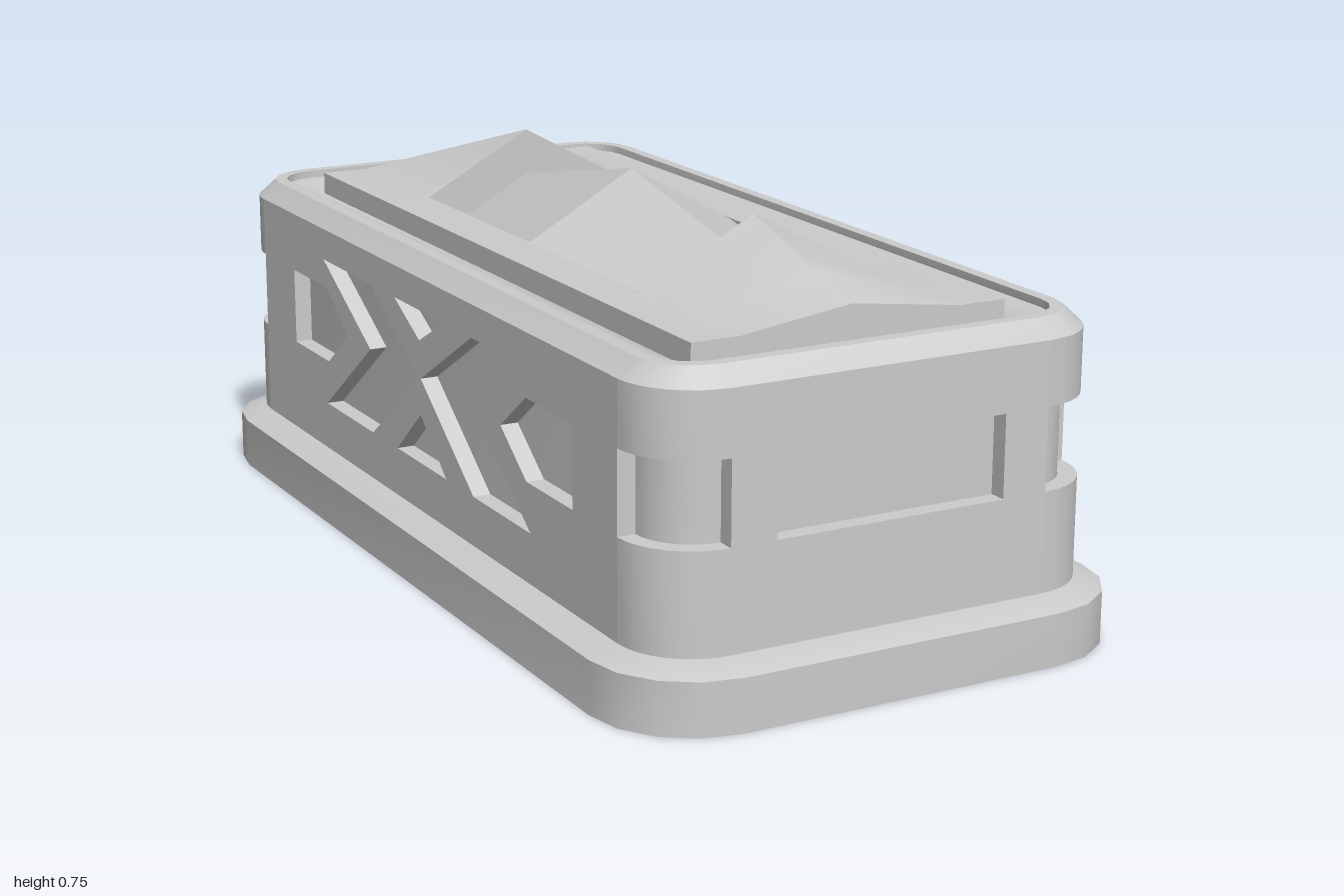
import * as THREE from 'three';
import { toCreasedNormals } from 'three/addons/utils/BufferGeometryUtils.js';

// Every outline is the same rectangle (half sizes CX, CZ) grown by a rounded margin r
const CX = 0.32, CZ = 0.805, SEG = 4;
const R_CORE = 0.105, R_BODY = 0.14, DEPTH = R_BODY - R_CORE;
const WALL_TOP = 0.587;

// Sunken middle of the lid: half sizes, and the height of the lid's border
const MX = 0.225, MZ = 0.467, BORDER = 0.63;

const material = new THREE.MeshStandardMaterial({ color: 0xcccccc });

function addMesh(parent, name, geometry) {
  const mesh = new THREE.Mesh(geometry, material);
  mesh.name = name;
  parent.add(mesh);
  return mesh;
}

function fromTriangles(points, crease) {
  const geo = new THREE.BufferGeometry();
  geo.setAttribute('position', new THREE.Float32BufferAttribute(points.flat(), 3));
  geo.computeVertexNormals();
  return toCreasedNormals(geo, crease);
}

// Rounded rectangle ring, counter-clockwise from above
function ring([r, y]) {
  const pts = [];
  for (let k = 0; k < 4; k++) {
    const sx = k === 0 || k === 3 ? 1 : -1, sz = k < 2 ? -1 : 1;
    for (let i = 0; i <= SEG; i++) {
      const a = (k + i / SEG) * Math.PI / 2;
      pts.push([sx * CX + r * Math.cos(a), y, sz * CZ - r * Math.sin(a)]);
    }
  }
  return pts;
}

// Bands between successive [margin, height] rings, with an optional floor
function loft(profile, hasFloor = false) {
  const rings = profile.map(ring), tris = [], n = rings[0].length;
  for (let i = 0; i < n; i++) {
    const j = (i + 1) % n;
    for (let k = 0; k < rings.length - 1; k++) {
      const a = rings[k], b = rings[k + 1];
      tris.push(a[i], a[j], b[j], a[i], b[j], b[i]);
    }
    if (hasFloor) tris.push([0, profile[0][1], 0], rings[0][j], rings[0][i]);
  }
  return fromTriangles(tris, 0.5);
}

const polygon = (pts, Type = THREE.Path) => new Type(pts.map(([x, y]) => new THREE.Vector2(x, y)));
const rect = (x, y0, y1) => [[-x, y0], [x, y0], [x, y1], [-x, y1]];

// Wall panel with cut-outs, centred on x and facing +z
function panel(halfWidth, halfDepth, holes) {
  const shape = polygon(rect(halfWidth, 0.12, WALL_TOP), THREE.Shape);
  shape.holes = holes.map((h) => polygon(h));
  const geo = new THREE.ExtrudeGeometry(shape, { depth: DEPTH, bevelEnabled: false });
  return geo.translate(0, 0, halfDepth + R_CORE);
}

// Quarter-round corner shell between two heights
function cornerShell(k, y0, y1) {
  const sx = k === 0 || k === 3 ? 1 : -1, sy = k < 2 ? 1 : -1;
  const a0 = k * Math.PI / 2, a1 = a0 + Math.PI / 2;
  const shape = new THREE.Shape();
  shape.absarc(sx * CX, sy * CZ, R_BODY, a0, a1, false);
  shape.absarc(sx * CX, sy * CZ, R_CORE, a1, a0, true);
  const geo = new THREE.ExtrudeGeometry(shape, { depth: y1 - y0, bevelEnabled: false, curveSegments: SEG });
  geo.rotateX(-Math.PI / 2).translate(0, y0, 0);
  return toCreasedNormals(geo, 0.5);
}

// Skin through cross-sections ordered from back to front, points running left to right
function sweep(sections) {
  const tris = [];
  for (let s = 0; s < sections.length - 1; s++) {
    const a = sections[s], b = sections[s + 1];
    for (let i = 0; i < a.length - 1; i++) {
      tris.push(a[i], b[i], b[i + 1], a[i], b[i + 1], a[i + 1]);
    }
  }
  return tris;
}

// End of the lid: a gable that flattens towards the front
function lidEnd() {
  const sections = [];
  for (let i = 0; i <= 8; i++) {
    const t = i / 8, z = THREE.MathUtils.lerp(MZ, CZ, t), ridge = THREE.MathUtils.lerp(0.753, 0.66, t);
    sections.push([[-CX, 0.53, z], [-CX, BORDER, z], [-MX, BORDER, z], [0, ridge, z],
      [MX, BORDER, z], [CX, BORDER, z], [CX, 0.53, z]]);
  }
  const tris = sweep(sections), back = sections[0], front = sections[8];
  for (let i = 1; i < back.length - 1; i++) {
    tris.push(back[0], back[i], back[i + 1], front[0], front[i + 1], front[i]);
  }
  return fromTriangles(tris, 0.55);
}

// Middle of the lid: side borders and a roof sinking from its centre to both ends
function lidMiddle() {
  const stations = [[-MZ, 0.093], [0, 0], [MZ, 0.093]];
  const sections = stations.map(([z, drop]) => [[-CX, 0.53, z], [-CX, BORDER, z], [-MX, BORDER, z],
    [-MX, BORDER - 0.002 - drop, z], [0, 0.753 - drop, z], [MX, BORDER - 0.002 - drop, z],
    [MX, BORDER, z], [CX, BORDER, z], [CX, 0.53, z]]);
  return fromTriangles(sweep(sections), 0.2);
}

export function createModel() {
  const model = new THREE.Group();
  model.name = 'stoneCoffin';

  // Plinth, recess floors and the rim with its sunken tray
  addMesh(model, 'plinth', loft([[0.195, 0], [0.195, 0.1], [R_BODY, 0.12], [R_CORE, 0.12]], true));
  addMesh(model, 'innerCore', loft([[R_CORE, 0.12], [R_CORE, WALL_TOP]]));
  addMesh(model, 'rim', loft([[R_BODY, WALL_TOP], [R_CORE, 0.62], [0.08, 0.62],
    [0.08, 0.605], [0.055, 0.605], [0, 0.585]]));

  // Carved pattern of the long sides
  const mirror = (pts) => pts.map(([x, y]) => [-x, y]);
  const arrow = [[0.64, 0.31], [0.64, 0.466], [0.46, 0.466], [0.355, 0.388], [0.46, 0.31]];
  const chevron = [[0.475, 0.523], [0.235, 0.523], [0.004, 0.388], [0.235, 0.217], [0.475, 0.217], [0.24, 0.388]];
  const sideHoles = [arrow, mirror(arrow), chevron, mirror(chevron),
    [[-0.115, 0.523], [0.115, 0.523], [0, 0.463]],
    [[-0.115, 0.217], [0.115, 0.217], [0, 0.315]]];

  // Walls
  const sideGeo = panel(CZ, CX, sideHoles);
  const endGeo = panel(CX, CZ, [rect(0.23, 0.31, 0.466)]);
  ['frontWall', 'leftWall', 'backWall', 'rightWall'].forEach((name, i) => {
    addMesh(model, name, i % 2 ? sideGeo : endGeo).rotation.y = i * Math.PI / 2;
  });

  // Rounded corners with a notch at mid height
  for (let k = 0; k < 4; k++) {
    addMesh(model, 'lowerCorner', cornerShell(k, 0.12, 0.31));
    addMesh(model, 'upperCorner', cornerShell(k, 0.466, WALL_TOP));
  }

  // Lid
  const endPiece = lidEnd();
  addMesh(model, 'lidFront', endPiece);
  addMesh(model, 'lidBack', endPiece).rotation.y = Math.PI;
  addMesh(model, 'lidMiddle', lidMiddle());
  return model;
}
